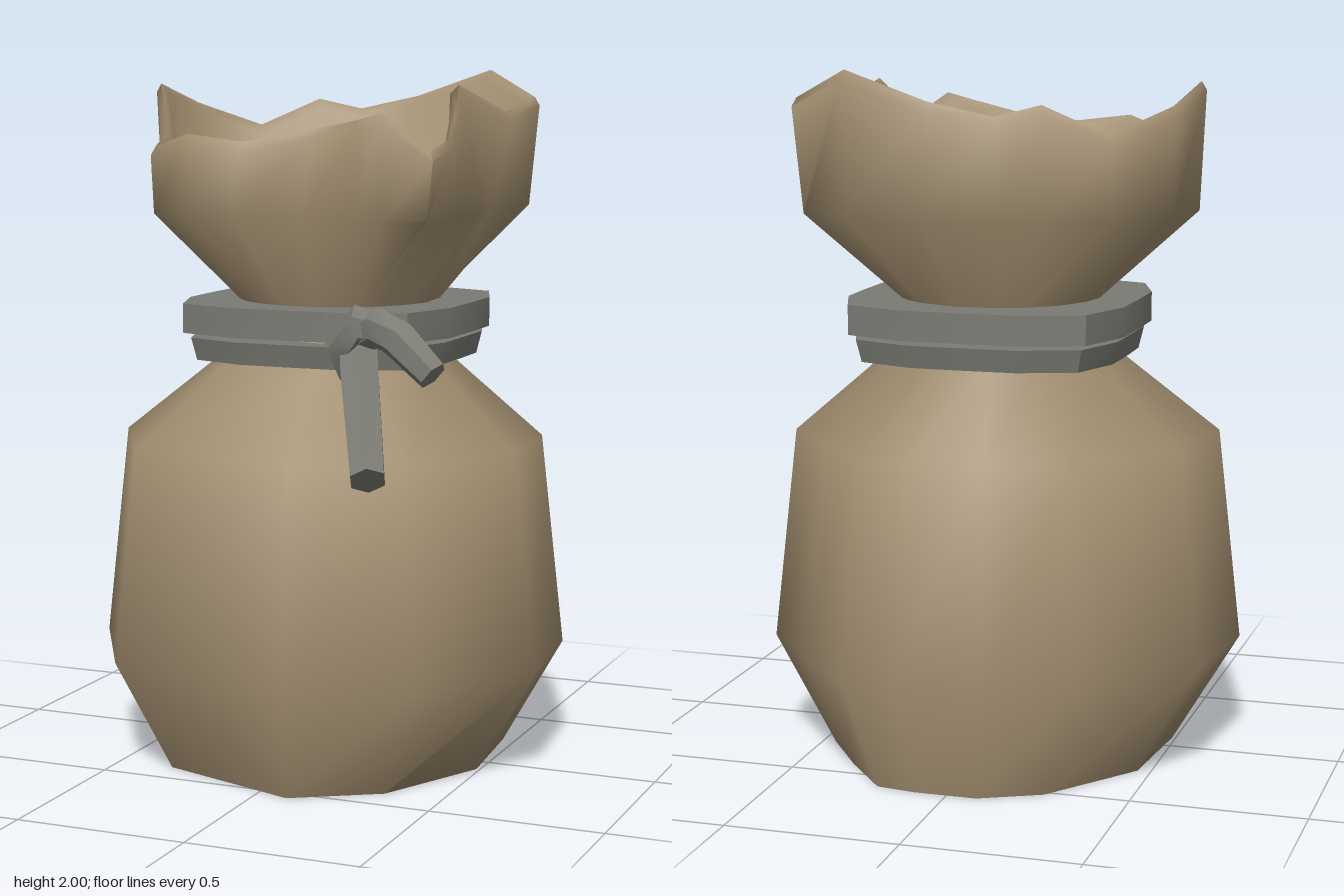
import * as THREE from 'three';
import { toCreasedNormals } from 'three/addons/utils/BufferGeometryUtils.js';

const V = (x, y, z) => new THREE.Vector3(x, y, z);
const NECK_Z = -0.07;

// Skin a stack of rings; optional fan caps close the first and last ring
function loft(rings, { start = null, end = null, crease = 0.9 } = {}) {
  const n = rings[0].length;
  const pts = rings.flat();
  const index = [];
  for (let i = 0; i < rings.length - 1; i++) {
    for (let j = 0; j < n; j++) {
      const k = (j + 1) % n;
      const a = i * n + j, b = i * n + k, c = a + n, d = b + n;
      index.push(a, b, d, a, d, c);
    }
  }
  const last = (rings.length - 1) * n;
  if (start) {
    pts.push(start);
    for (let j = 0; j < n; j++) index.push((j + 1) % n, j, pts.length - 1);
  }
  if (end) {
    pts.push(end);
    for (let j = 0; j < n; j++) index.push(last + j, last + (j + 1) % n, pts.length - 1);
  }
  const g = new THREE.BufferGeometry().setFromPoints(pts);
  g.setIndex(index);
  g.computeVertexNormals();
  return toCreasedNormals(g, crease);
}

// Rounded-square ring around the neck
function neckRing(r, y, power = 4, n = 16) {
  return Array.from({ length: n }, (_, i) => {
    const a = (i / n) * Math.PI * 2, s = Math.sin(a), c = Math.cos(a);
    const k = r / Math.pow(Math.abs(s) ** power + Math.abs(c) ** power, 1 / power);
    return V(s * k, y, c * k + NECK_Z);
  });
}

// Faceted cord following a few points
function cord(points, radii, sides = 6) {
  const rings = points.map((p, i) => {
    const t = points[Math.min(i + 1, points.length - 1)].clone()
      .sub(points[Math.max(i - 1, 0)]).normalize();
    const u = V(0, 0, 1).addScaledVector(t, -t.z).normalize();
    const v = t.clone().cross(u);
    return Array.from({ length: sides }, (_, j) => {
      const a = ((j + 0.5) / sides) * Math.PI * 2;
      return p.clone().addScaledVector(u, Math.cos(a) * radii[i]).addScaledVector(v, Math.sin(a) * radii[i]);
    });
  });
  return loft(rings, { start: points[0], end: points[points.length - 1], crease: 0.7 });
}

// Widest outline of the sack: x, z
const OUTLINE = [
  [0.13, 0.67], [0.46, 0.5], [0.68, 0.12], [0.64, -0.26], [0.47, -0.47], [0.29, -0.66],
  [0.13, -0.68], [-0.12, -0.68], [-0.36, -0.58], [-0.64, -0.26], [-0.68, 0.12], [-0.46, 0.5],
];

// Ragged rim of the mouth: x, z, y
const RIM = [
  [0.06, 0.31, 1.84], [0.23, 0.38, 1.87], [0.31, 0.38, 1.89], [0.46, 0.39, 1.79],
  [0.45, 0.2, 1.82], [0.4, 0, 1.88], [0.34, -0.19, 1.96], [0.43, -0.35, 1.88],
  [0.47, -0.5, 1.92], [0.31, -0.55, 2.0], [0.06, -0.58, 1.92], [-0.12, -0.54, 1.88],
  [-0.24, -0.48, 1.91], [-0.42, -0.43, 1.83], [-0.56, -0.26, 1.9], [-0.6, -0.08, 1.96],
  [-0.52, 0.06, 1.9], [-0.44, 0.22, 1.82], [-0.41, 0.34, 1.79], [-0.27, 0.42, 1.83], [-0.1, 0.42, 1.81],
];

// Mouth ring: a rule turns each rim point's radius and height into a new point
function mouthRing(rule) {
  return RIM.map(([x, z, y]) => {
    const r = Math.hypot(x, z - NECK_Z);
    const [nr, ny] = rule(r, y);
    return V((x * nr) / r, ny, ((z - NECK_Z) * nr) / r + NECK_Z);
  });
}

export function createModel() {
  const group = new THREE.Group();
  const fabric = new THREE.MeshStandardMaterial({ color: 0xa38f70 });
  fabric.name = 'tan fabric';
  const rope = new THREE.MeshStandardMaterial({ color: 0x7b7b74 });
  rope.name = 'grey rope';
  const add = (name, geometry, material) => {
    const mesh = new THREE.Mesh(geometry, material);
    mesh.name = name;
    group.add(mesh);
  };

  // Sack body: scaled copies of the outline, drawn in to a round neck
  const bodyRing = (y, sx, sz, dz = 0) => OUTLINE.map(([x, z]) => V(x * sx, y, z * sz + dz));
  const roundRing = (y, r, dz) => OUTLINE.map(([x, z]) => {
    const l = Math.hypot(x, z);
    return V((x / l) * r, y, (z / l) * r + dz);
  });
  add('sackBody', loft([
    bodyRing(0, 0.72, 0.85, -0.025),
    bodyRing(0.32, 1, 1),
    bodyRing(0.94, 0.9, 0.9),
    roundRing(1.18, 0.33, -0.04),
    roundRing(1.27, 0.3, NECK_Z),
  ], { start: V(0, 0, -0.02), end: V(0, 1.27, NECK_Z), crease: 1.1 }), fabric);

  // Open mouth: flares from the neck, rolls over the rim and closes inside
  add('sackMouth', loft([
    mouthRing(() => [0.28, 1.24]),
    mouthRing(() => [0.295, 1.34]),
    mouthRing((r) => [r * 0.6 + 0.224, 1.6]),
    mouthRing((r, y) => [r, y - 0.025]),
    mouthRing((r, y) => [r - 0.015, y]),
    mouthRing((r, y) => [r - 0.04, y - 0.025]),
    mouthRing((r) => [r * 0.6 + 0.15, 1.6]),
  ], { end: V(0, 1.27, NECK_Z), crease: 1.3 }), fabric);

  // Two turns of rope around the neck
  const turn = (rBottom, rTop, y0, y1) => loft([
    neckRing(rBottom, y0), neckRing(rTop, y1), neckRing(0.24, y1), neckRing(0.24, y0), neckRing(rBottom, y0),
  ], { crease: 0.7 });
  add('upperRopeTurn', turn(0.41, 0.41, 1.255, 1.34), rope);
  add('lowerRopeTurn', turn(0.375, 0.39, 1.175, 1.24), rope);

  // Knot with a long hanging end and a short arched end
  add('knot', cord([
    V(0.2, 1.17, 0.32), V(0.19, 1.25, 0.35), V(0.24, 1.31, 0.36), V(0.31, 1.29, 0.34),
  ], [0.045, 0.06, 0.06, 0.05]), rope);
  add('longRopeEnd', cord([
    V(0.22, 1.25, 0.33), V(0.25, 1.17, 0.39), V(0.37, 0.93, 0.63),
  ], [0.06, 0.06, 0.052]), rope);
  add('shortRopeEnd', cord([
    V(0.21, 1.27, 0.33), V(0.3, 1.31, 0.37), V(0.37, 1.28, 0.4), V(0.475, 1.19, 0.42),
  ], [0.05, 0.055, 0.055, 0.045]), rope);

  return group;
}
